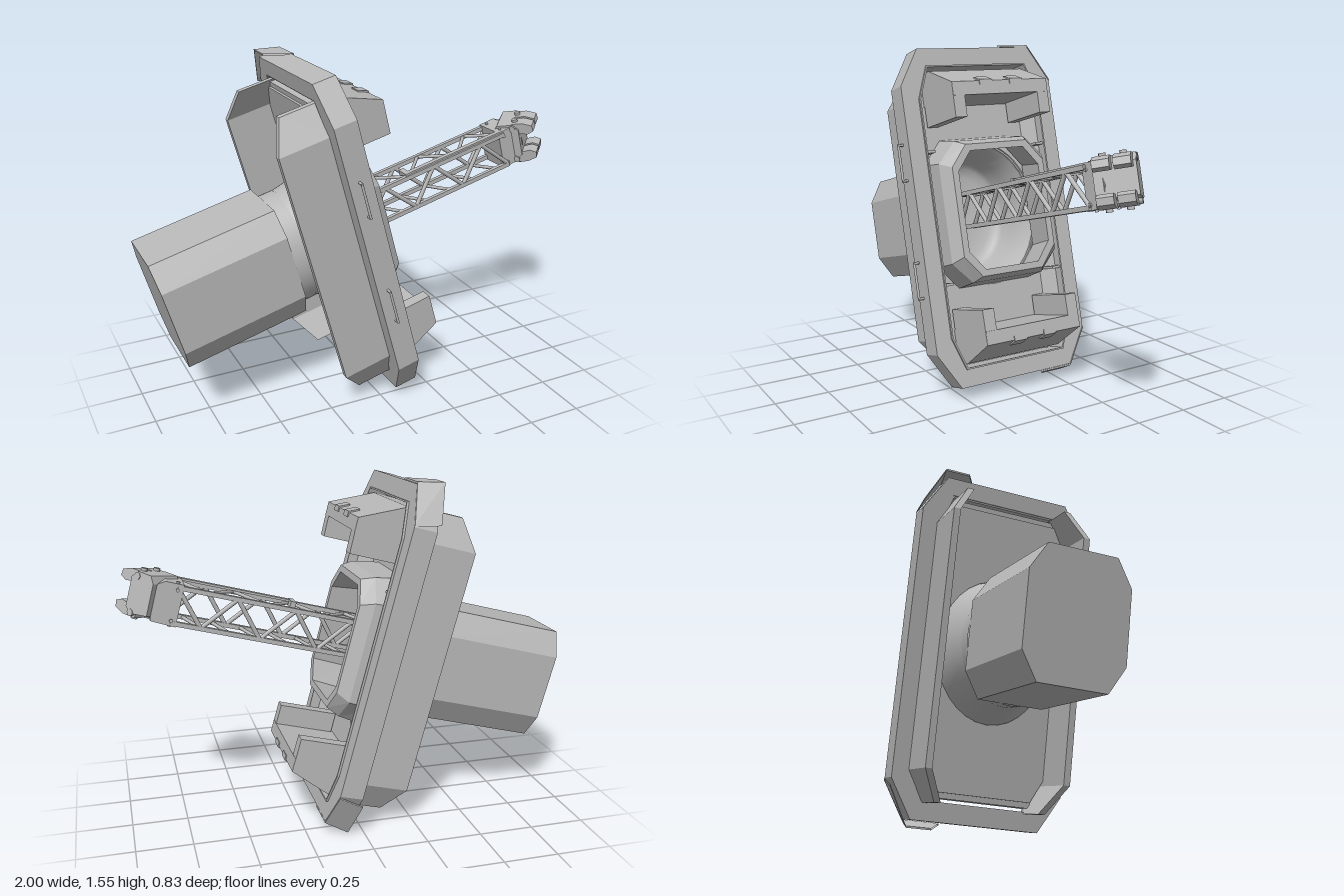
import * as THREE from 'three';

export function createModel() {
  const model = new THREE.Group();
  // Everything is built along local x (arm axis), then tilted.
  const rig = new THREE.Group();
  rig.name = 'tiltedAssembly';
  rig.rotation.z = THREE.MathUtils.degToRad(15);
  rig.position.set(0, 0.808, -0.016);
  model.add(rig);

  const grey = new THREE.MeshStandardMaterial({ color: 0xb8b8b8, side: THREE.DoubleSide });
  grey.name = 'grey';

  const add = (name, geo, parent = rig) => {
    const m = new THREE.Mesh(geo, grey);
    m.name = name;
    parent.add(m);
    return m;
  };
  const box = (name, x0, x1, y0, y1, z0, z1, parent) => {
    const g = new THREE.BoxGeometry(x1 - x0, y1 - y0, z1 - z0);
    g.translate((x0 + x1) / 2, (y0 + y1) / 2, (z0 + z1) / 2);
    return add(name, g, parent);
  };
  const vectors = pts => pts.map(p => new THREE.Vector2(...p));
  const shapeOf = (pts, hole) => {
    const s = new THREE.Shape(vectors(pts));
    if (hole) s.holes.push(new THREE.Path(hole));
    return s;
  };
  // Side profile in x,y extruded across z
  const slab = (name, pts, z0, z1, parent) => {
    const g = new THREE.ExtrudeGeometry(shapeOf(pts), { depth: z1 - z0, bevelEnabled: false });
    g.translate(0, 0, z0);
    return add(name, g, parent);
  };
  // Chamfered rectangle: half width, half height, chamfer start on each
  const octagon = (w, h, cw, ch) => [[w, -ch], [w, ch], [cw, h], [-cw, h], [-w, ch], [-w, -ch], [-cw, -h], [cw, -h]];
  // Cross-section in z,y extruded along x
  const section = (name, shape, x0, x1) => {
    const g = new THREE.ExtrudeGeometry(shape, { depth: x1 - x0, bevelEnabled: false });
    g.rotateY(Math.PI / 2);
    g.translate(x0, 0, 0);
    return add(name, g);
  };
  // Flat-shaded skin between rows of points
  const skin = (rows, closed) => {
    const v = [];
    for (let r = 0; r < rows.length - 1; r++) {
      const n = rows[r].length;
      for (let i = 0; i < (closed ? n : n - 1); i++) {
        const j = (i + 1) % n;
        const [a, b, c, d] = [rows[r][i], rows[r][j], rows[r + 1][j], rows[r + 1][i]];
        v.push(...a, ...b, ...c, ...a, ...c, ...d);
      }
    }
    const g = new THREE.BufferGeometry();
    g.setAttribute('position', new THREE.Float32BufferAttribute(v, 3));
    g.computeVertexNormals();
    return g;
  };
  const beam = (name, p, q, r, parent) => {
    const a = new THREE.Vector3(...p), d = new THREE.Vector3(...q).sub(a);
    const g = new THREE.CylinderGeometry(r, r, d.length(), 8);
    const m = add(name, g, parent);
    m.position.copy(a).addScaledVector(d, 0.5);
    m.quaternion.setFromUnitVectors(new THREE.Vector3(0, 1, 0), d.normalize());
    return m;
  };

  // Rear housing
  section('rearHousing', shapeOf(octagon(0.212, 0.26, 0.145, 0.15)), -0.962, -0.395);

  // Rounded neck and bowl joining housing to frame
  const bowl = new THREE.LatheGeometry(vectors([[0, -0.39], [0.12, -0.387], [0.2, -0.378], [0.245, -0.36],
    [0.262, -0.33], [0.275, -0.26], [0.3, -0.18], [0.335, -0.125]]), 48);
  bowl.rotateZ(-Math.PI / 2);
  bowl.scale(1, 1, 0.82);
  add('neckBowl', bowl);
  const collar = new THREE.CylinderGeometry(0.265, 0.265, 0.07, 48, 1, true);
  collar.rotateZ(Math.PI / 2);
  collar.scale(1, 1, 0.82);
  collar.translate(-0.362, 0, 0);
  add('neckCollar', collar);

  // Outer octagonal frame
  section('outerFrame', shapeOf(octagon(0.397, 0.767, 0.295, 0.6), vectors(octagon(0.318, 0.688, 0.262, 0.54))), -0.135, -0.03);
  section('innerLip', shapeOf(octagon(0.318, 0.688, 0.262, 0.54), vectors(octagon(0.311, 0.681, 0.257, 0.537))), -0.13, -0.02);

  // Floor plate behind the frame
  section('floorPlate', shapeOf(octagon(0.3, 0.64, 0.24, 0.53),
    new THREE.EllipseCurve(0, 0, 0.265, 0.325).getPoints(32)), -0.15, -0.13);

  // Central bezel around the bowl
  const loop = (x, ...o) => octagon(...o).map(([z, y]) => [x, y + 0.014, z]);
  add('bezel', skin([
    loop(-0.135, 0.285, 0.345, 0.19, 0.235),
    loop(0, 0.278, 0.322, 0.185, 0.225),
    loop(0.055, 0.242, 0.298, 0.16, 0.2),
    loop(0.055, 0.212, 0.268, 0.14, 0.18),
    loop(-0.12, 0.235, 0.29, 0.155, 0.195)], true));

  for (const s of [1, -1]) {
    const word = s > 0 ? 'upper' : 'lower';
    // Side shell on the back: wall with ends folded inward
    const wall = (x, d) => [[x, -0.69, s * (0.25 - d)], [x, -0.56, s * (0.325 - d)],
      [x, 0.545, s * (0.325 - d)], [x, 0.675, s * (0.25 - d)]];
    const taper = (d) => wall(-0.36, d).map(([x, y, z]) => [Math.abs(y) > 0.6 ? -0.29 : x, y, z]);
    const rows = [wall(-0.1, 0), taper(0), taper(0.03), wall(-0.1, 0.03)];
    add('sideShell', skin(rows, false));
    for (const i of [0, 3]) add('sideShellEnd', skin([[rows[0][i], rows[1][i]], [rows[3][i], rows[2][i]]], false));
    // Sloping liner from frame opening to floor
    add('sideLiner', skin([
      [[-0.06, -0.54, s * 0.316], [-0.06, 0.54, s * 0.316]],
      [[-0.145, -0.53, s * 0.25], [-0.145, 0.53, s * 0.25]]], false));

    // Hooded clamps with side cheeks
    const clamp = new THREE.Group();
    clamp.name = word + 'Clamp';
    clamp.scale.y = s;
    rig.add(clamp);
    slab('clampHood', [[-0.14, 0.515], [0.163, 0.515], [0.163, 0.575], [-0.04, 0.665], [-0.14, 0.665]], -0.245, 0.245, clamp);
    for (const e of [1, -1]) {
      slab('clampCheek', [[-0.12, 0.42], [0.16, 0.42], [0.163, 0.575], [-0.04, 0.665], [-0.12, 0.665]],
        e > 0 ? 0.19 : -0.247, e > 0 ? 0.247 : -0.19, clamp);
      slab('clampTab', [[0.12, 0.576], [0.168, 0.555], [0.168, 0.58], [0.12, 0.601]],
        e * 0.078 - 0.032, e * 0.078 + 0.032, clamp);
      // Stops beside the bezel
      box('sideStop', -0.13, -0.03, s * 0.3 - 0.006, s * 0.3 + 0.006, e * 0.3 - 0.03, e * 0.3 + 0.03);
    }

    // Bent corner guards on the right edge of the frame
    const flap = (d) => [
      [[-0.03, s * (0.768 + d), -0.13], [-0.03, s * (0.768 + d), -0.297], [-0.03, s * (0.602 + d), -0.399]],
      [[-0.143, s * (0.794 + d), -0.2], [-0.143, s * (0.794 + d), -0.312], [-0.143, s * (0.63 + d), -0.4]]];
    const [i0, i1] = flap(0), [o0, o1] = flap(0.008);
    add('cornerGuard', skin([i0, i1, o1, o0, i0], false));

    // Grab handles
    const [h0, h1] = [s * 0.185, s * 0.345];
    beam('grabHandle', [-0.088, h0, 0.42], [-0.088, h1, 0.42], 0.006);
    beam('handlePost', [-0.088, h0, 0.39], [-0.088, h0, 0.424], 0.006);
    beam('handlePost', [-0.088, h1, 0.39], [-0.088, h1, 0.424], 0.006);
  }

  // Lattice boom
  const boom = new THREE.Group();
  boom.name = 'latticeBoom';
  rig.add(boom);
  const [start, end, lo, hi, w] = [-0.38, 0.8, -0.052, 0.104, 0.076];
  for (const y of [lo, hi]) for (const z of [-w, w])
    box('boomChord', start, end, y - 0.01, y + 0.01, z - 0.01, z + 0.01, boom);
  const bays = 9, step = (end - start) / bays;
  for (let i = 0; i < bays; i++) {
    const x0 = start + i * step, x1 = x0 + step, up = i % 2;
    for (const z of [-w, w]) {
      const rising = (z > 0) === (up === 1);
      beam('sideBrace', [x0, rising ? lo : hi, z], [x1, rising ? hi : lo, z], 0.01, boom);
    }
    beam('topBrace', [x0, hi, up ? w : -w], [x1, hi, up ? -w : w], 0.008, boom);
    beam('bottomBrace', [x0, lo, -w], [x0 + step * 0.5, lo, w], 0.008, boom);
  }
  box('cableRail', 0.27, 0.8, 0.112, 0.122, 0.05, 0.075, boom);
  box('railClip', 0.26, 0.285, 0.094, 0.124, 0.01, 0.08, boom);

  // Wrist at the end of the boom
  slab('wrist', [[0.775, -0.066], [0.885, -0.058], [0.9, 0.024], [0.885, 0.104], [0.855, 0.122], [0.775, 0.12]], -0.085, 0.075);
  for (const y of [-0.041, 0.094]) for (const z of [-0.06, 0.05]) {
    beam('wristBolt', [0.8, y, -0.092], [0.8, y, 0.082], 0.008);
    beam('wristBolt', [0.8, -0.072, z], [0.8, 0.126, z], 0.008);
  }

  // Claw head, turned toward the front
  const head = new THREE.Group();
  head.name = 'clawHead';
  head.position.set(0.9, 0.032, 0.014);
  head.rotation.y = -0.8;
  rig.add(head);
  slab('clawBlock', [[-0.08, -0.07], [0.01, -0.085], [0.04, -0.06], [0.04, 0.07], [0.01, 0.1], [-0.06, 0.1], [-0.08, 0.07]], -0.085, 0.082, head);
  for (const s of [1, -1]) {
    for (const z of [-0.04, 0.04]) {
      slab('clawJaw', [[-0.01, s * 0.055], [0.08, s * 0.042], [0.108, s * 0.055], [0.104, s * 0.084], [0.06, s * 0.1], [-0.01, s * 0.1]],
        z - 0.033, z + 0.033, head);
      beam('jawPin', [0.02, s * 0.09, z], [0.02, s * 0.112, z], 0.014, head);
    }
    beam('jawHinge', [0.01, s * 0.08, -0.088], [0.01, s * 0.08, 0.086], 0.016, head);
  }
  return model;
}
